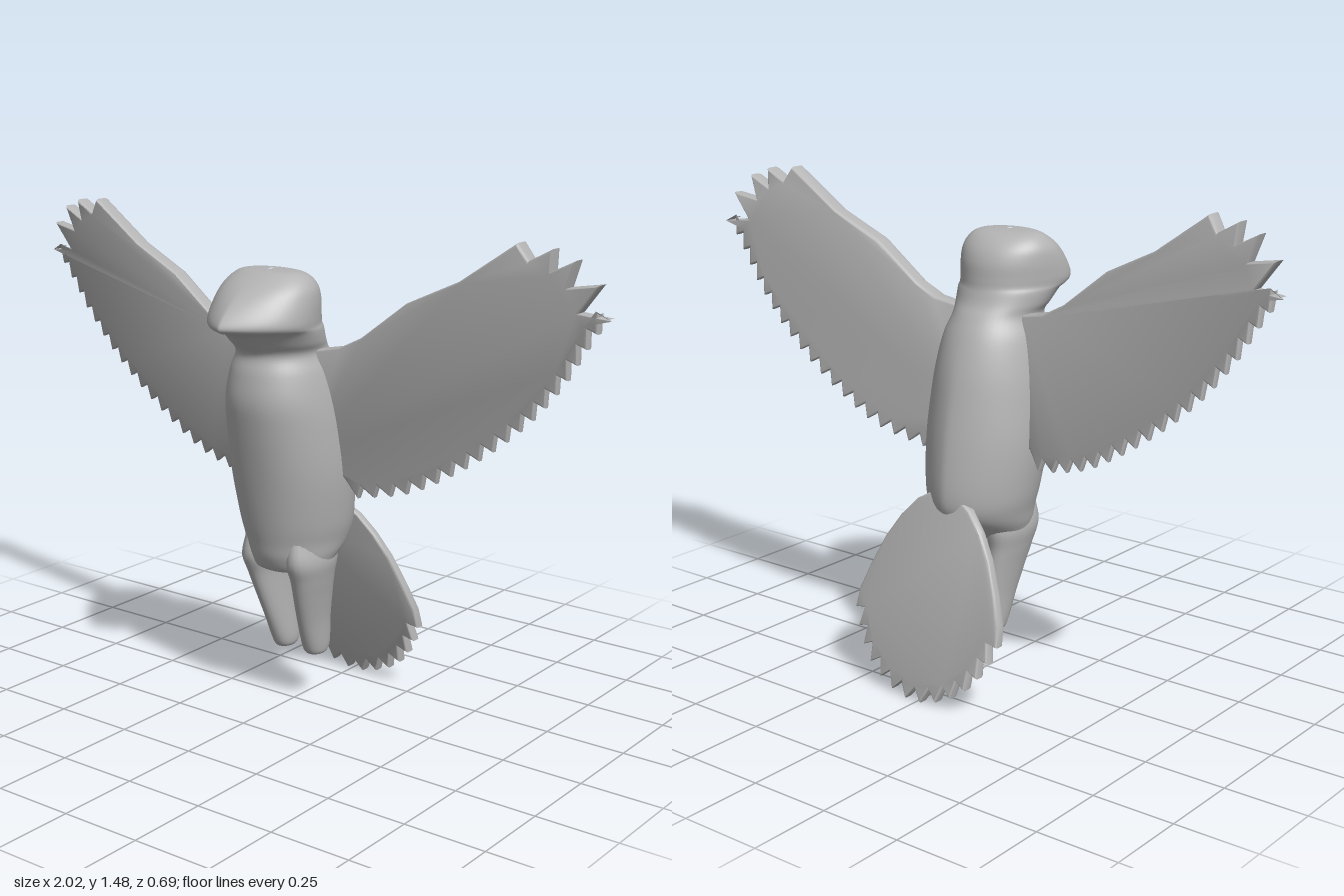
import * as THREE from 'three';
import { toCreasedNormals } from 'three/addons/utils/BufferGeometryUtils.js';

const grey = new THREE.MeshStandardMaterial({ color: 0xb3b3b3 });
grey.name = 'plain grey';

// Smooth loft through horizontal sections, bottom to top:
// [y, front z, back z, half width, front point, back point, centre x]
function loft(name, sections, rows, sides, zMid) {
  const curve = (f) => new THREE.CatmullRomCurve3(sections.map(f), false, 'catmullrom', 0.5);
  const place = curve((s) => new THREE.Vector3(s[0], s[1], s[2]));
  const shape = curve((s) => new THREE.Vector3(s[3], s[4], s[5]));
  const shift = curve((s) => new THREE.Vector3(s[6] || 0, 0, 0));
  const pos = [], index = [];
  for (let i = 0; i <= rows; i++) {
    const t = i / rows;
    const p = place.getPoint(t), w = shape.getPoint(t), cx = shift.getPoint(t).x;
    const mid = p.z + (p.y - p.z) * zMid;
    for (let j = 0; j < sides; j++) {
      const a = (j / sides) * Math.PI * 2, c = Math.cos(a), s = Math.sin(a);
      const x = Math.sign(s) * Math.pow(Math.abs(s), c > 0 ? w.y : w.z) * Math.max(w.x, 0.001);
      pos.push(cx + x, p.x, mid + c * (c > 0 ? p.y - mid : mid - p.z));
      if (i < rows) {
        const k = i * sides + j, n = i * sides + ((j + 1) % sides);
        index.push(k, n, n + sides, k, n + sides, k + sides);
      }
    }
  }
  const geo = new THREE.BufferGeometry();
  geo.setAttribute('position', new THREE.Float32BufferAttribute(pos, 3));
  geo.setIndex(index);
  geo.computeVertexNormals();
  const mesh = new THREE.Mesh(geo, grey);
  mesh.name = name;
  return mesh;
}

// Feather tips along a smooth edge; inward(p) gives the offset of each notch
function serrate(edge, count, inward) {
  const curve = new THREE.SplineCurve(edge.map((p) => new THREE.Vector2(...p)));
  const out = [];
  for (let i = 0; i <= count; i++) {
    const p = curve.getPointAt(i / count);
    out.push([p.x, p.y]);
    if (i < count) {
      const q = curve.getPointAt((i + 0.5) / count), d = inward(q);
      out.push([q.x + d[0], q.y + d[1]]);
    }
  }
  return out;
}

// Slab with rounded rim, laid on the surface frontZ(x, y) with the given thickness
function slab(name, outline, frontZ, thickness) {
  const geo = new THREE.ExtrudeGeometry(new THREE.Shape(outline.map((p) => new THREE.Vector2(...p))), {
    depth: 0.5, bevelThickness: 0.25, bevelSize: 0.007, bevelOffset: -0.007, bevelSegments: 3,
  });
  const p = geo.attributes.position;
  for (let i = 0; i < p.count; i++) {
    const x = p.getX(i), y = p.getY(i), s = p.getZ(i) + 0.25;
    p.setZ(i, frontZ(x, y) - (1 - s) * thickness(x, y));
  }
  const mesh = new THREE.Mesh(toCreasedNormals(geo, 0.7), grey);
  mesh.name = name;
  return mesh;
}

export function createModel() {
  const model = new THREE.Group();
  model.name = 'bird';

  // Torso, head and hooked beak in one smooth skin
  model.add(loft('bodyAndHead', [
    [0.455, 0.08, -0.04, 0.01, 1, 1],
    [0.46, 0.115, -0.07, 0.11, 1, 1],
    [0.50, 0.138, -0.14, 0.138, 1, 1.1],
    [0.55, 0.15, -0.195, 0.152, 1, 1.2],
    [0.62, 0.165, -0.21, 0.167, 0.95, 1.3],
    [0.76, 0.19, -0.197, 0.18, 0.9, 1.3],
    [0.90, 0.215, -0.172, 0.175, 0.9, 1.2],
    [0.99, 0.227, -0.15, 0.165, 0.9, 1.1],
    [1.07, 0.217, -0.12, 0.148, 0.95, 1],
    [1.125, 0.203, -0.09, 0.128, 1, 1],
    [1.16, 0.235, -0.065, 0.14, 1.3, 1],
    [1.195, 0.28, -0.05, 0.15, 1.5, 1],
    [1.212, 0.338, -0.045, 0.154, 1.7, 1],
    [1.235, 0.342, -0.042, 0.156, 1.7, 1],
    [1.28, 0.30, -0.035, 0.153, 1.5, 1],
    [1.32, 0.245, -0.015, 0.143, 1.2, 1],
    [1.35, 0.19, 0.02, 0.117, 1, 1],
    [1.362, 0.16, 0.06, 0.08, 1, 1],
    [1.365, 0.12, 0.10, 0.005, 1, 1],
  ], 90, 48, 0.5));

  // Legs ending in blunt stumps
  for (const side of [1, -1]) {
    model.add(loft(side > 0 ? 'leftLeg' : 'rightLeg', [
      [0.168, -0.02, -0.05, 0.004, 1, 1, side * 0.058],
      [0.172, 0.0, -0.07, 0.027, 0.9, 0.9, side * 0.058],
      [0.20, 0.018, -0.086, 0.035, 0.9, 0.9, side * 0.058],
      [0.28, 0.05, -0.083, 0.036, 0.9, 0.9, side * 0.064],
      [0.36, 0.08, -0.079, 0.04, 0.9, 0.9, side * 0.073],
      [0.43, 0.104, -0.076, 0.046, 0.9, 0.9, side * 0.081],
      [0.49, 0.127, -0.085, 0.053, 0.9, 0.9, side * 0.083],
      [0.56, 0.12, -0.08, 0.04, 1, 1, side * 0.08],
    ], 32, 24, 0.5));
  }

  // Raised wings: smooth leading edge, long tip feathers, serrated trailing edge
  const trailing = serrate([
    [1, 1.31], [0.95, 1.24], [0.9, 1.16], [0.86, 1.1], [0.765, 0.99],
    [0.63, 0.875], [0.47, 0.77], [0.36, 0.72], [0.22, 0.69],
  ], 19, () => [-0.012, 0.034]);
  const wing = [
    [0.05, 1.13], [0.12, 1.135], [0.2, 1.15], [0.27, 1.185], [0.42, 1.3], [0.58, 1.375],
    [0.755, 1.495], [0.785, 1.45], [0.85, 1.485], [0.845, 1.425], [0.915, 1.46],
    [0.89, 1.385], [0.98, 1.4], [0.92, 1.32], ...trailing, [0.18, 0.75], [0.05, 0.8],
  ];
  for (const side of [1, -1]) {
    model.add(slab(side > 0 ? 'leftWing' : 'rightWing',
      wing.map(([x, y]) => [x * side, y]),
      (x, y) => 0.065 - 0.141 * (Math.abs(x) - 0.12) + 0.153 * (y - 1.13),
      (x, y) => Math.max(0.022, 0.055 - 0.065 * (1.13 + 0.55 * (Math.abs(x) - 0.12) - y))));
  }

  // Fanned tail sloping down and back
  const cx = 0.013;
  const half = [[0.05, 0.615], [0.1, 0.585], [0.15, 0.53], [0.195, 0.46], [0.235, 0.37], [0.265, 0.29]];
  const fan = serrate([
    [0.27, 0.23], [0.235, 0.155], [0.18, 0.085], [0.1, 0.035], [0, 0.012],
    [-0.1, 0.035], [-0.18, 0.085], [-0.235, 0.155], [-0.27, 0.23],
  ], 13, ([x, y]) => {
    const len = Math.hypot(x, 0.55 - y);
    return [(-x / len) * 0.04, ((0.55 - y) / len) * 0.04];
  });
  // Vector2 is iterable, so the notch rule can read x and y directly
  const tail = [...half, ...fan, ...half.map(([x, y]) => [-x, y]).reverse()];
  model.add(slab('tail', tail.map(([x, y]) => [x + cx, y]),
    (x, y) => -0.16 - 0.24 * (0.61 - y),
    (x, y) => 0.028 + 0.02 * (0.61 - y)));

  return model;
}
